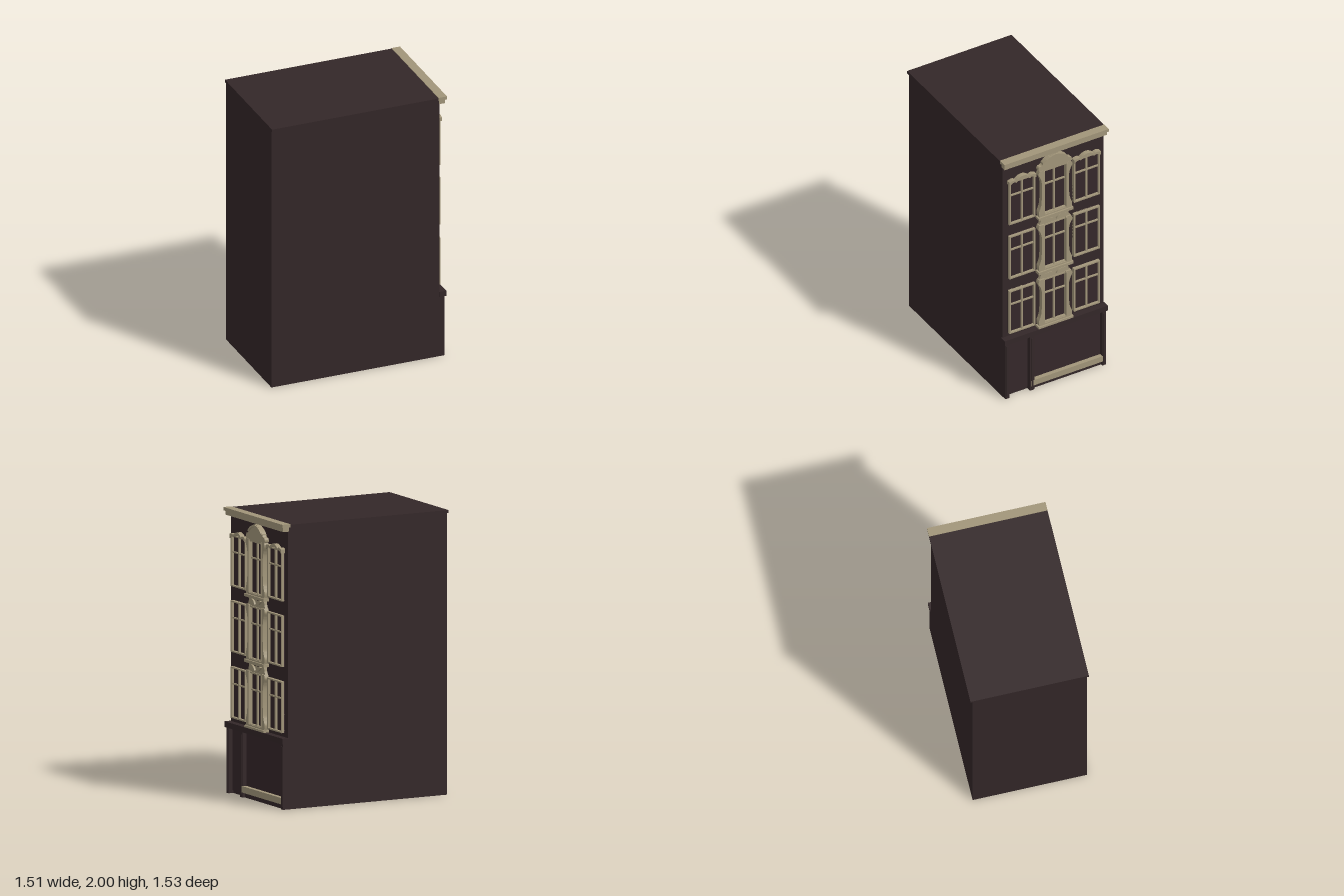
import * as THREE from 'three';

const mat = (name, color) => {
  const m = new THREE.MeshStandardMaterial({ color });
  m.name = name;
  return m;
};

export function createModel() {
  const model = new THREE.Group();
  model.name = 'townHouse';
  // The house is built with its facade towards +z, then turned on the plot
  const house = new THREE.Group();
  house.name = 'house';
  house.rotation.y = Math.atan2(0.686, -0.728);
  model.add(house);

  const brown = mat('darkBrown', 0x332728);
  const stone = mat('sandstone', 0xa19579);
  const pane = mat('darkPane', 0x35272a);
  const WALL = 0.605;

  const add = (name, geo, m, parent = house) => {
    const mesh = new THREE.Mesh(geo, m);
    mesh.name = name;
    parent.add(mesh);
    return mesh;
  };
  // Box given by its limits
  const box = (name, x0, x1, y0, y1, z0, z1, m, parent) => {
    const b = add(name, new THREE.BoxGeometry(x1 - x0, y1 - y0, z1 - z0), m, parent);
    b.position.set((x0 + x1) / 2, (y0 + y1) / 2, (z0 + z1) / 2);
    return b;
  };
  // Flat carved piece standing on the facade
  const carve = (name, shape, depth, m, parent, z = WALL) => {
    const geo = new THREE.ExtrudeGeometry(shape, { depth, bevelEnabled: false, curveSegments: 8 });
    return (add(name, geo, m, parent).position.z = z);
  };
  const outline = (pts) => new THREE.Shape(pts.map(([x, y]) => new THREE.Vector2(x, y)));

  // Main body, roof slab and cornice
  box('body', -0.405, 0.405, 0, 1.976, -0.653, WALL, brown);
  box('roof', -0.42, 0.42, 1.976, 1.996, -0.655, 0.593, brown);
  box('corniceTop', -0.42, 0.42, 1.977, 2, 0.593, 0.656, stone);
  box('corniceLower', -0.412, 0.412, 1.947, 1.977, 0.6, 0.645, stone);

  // Shop front
  const shop = new THREE.Group();
  shop.name = 'shopFront';
  house.add(shop);
  box('lintel', -0.415, 0.415, 0.46, 0.5, WALL - 0.005, 0.652, brown, shop);
  for (const [x0, x1] of [[-0.405, -0.372], [-0.207, -0.172], [0.375, 0.405]]) {
    box('shopPost', x0, x1, 0, 0.46, WALL, 0.642, brown, shop);
    box('postFillet', x0 + 0.01, x1 - 0.01, 0.02, 0.44, 0.642, 0.646, brown, shop);
  }
  box('doorPanel', -0.372, -0.207, 0.02, 0.45, WALL, 0.612, pane, shop);
  box('shopWindow', -0.172, 0.375, 0.08, 0.45, WALL, 0.612, pane, shop);
  box('stallRiser', -0.172, 0.375, 0, 0.035, WALL, 0.625, brown, shop);
  box('shopSill', -0.2, 0.378, 0.035, 0.08, WALL, 0.644, stone, shop);

  // Frame with one mullion and one transom
  const glazing = (g, x0, x1, y0, y1, transomY, framed) => {
    const c = (x0 + x1) / 2;
    const t = 0.012;
    box('pane', x0, x1, y0, y1, WALL, WALL + 0.006, pane, g);
    box('mullion', c - 0.006, c + 0.006, y0, y1, WALL, WALL + 0.02, stone, g);
    box('transom', x0, x1, transomY - 0.005, transomY + 0.005, WALL, WALL + 0.018, stone, g);
    box('bottomRail', x0, x1, y0, y0 + 0.01, WALL, WALL + 0.026, stone, g);
    box('topRail', x0, x1, y1 - 0.01, y1, WALL, WALL + 0.026, stone, g);
    if (!framed) return;
    box('frameSide', x0, x0 + t, y0, y1, WALL, WALL + 0.026, stone, g);
    box('frameSide', x1 - t, x1, y0, y1, WALL, WALL + 0.026, stone, g);
  };

  [0.53, 0.993, 1.453].forEach((y, floor) => {
    const top = floor === 2;
    const g = new THREE.Group();
    g.name = 'windowsFloor' + (floor + 1);
    house.add(g);

    // Side windows, with curved heads on the top floor
    for (const s of [-1, 1]) {
      const c = s * 0.26;
      glazing(g, c - 0.105, c + 0.105, y, y + 0.36, y + 0.24, true);
      if (!top) continue;
      const head = new THREE.Shape();
      head.moveTo(c - 0.108, 1.79);
      head.lineTo(c - 0.108, 1.818);
      head.quadraticCurveTo(c - 0.075, 1.835, c - 0.055, 1.818);
      head.quadraticCurveTo(c, 1.868, c + 0.055, 1.818);
      head.quadraticCurveTo(c + 0.075, 1.835, c + 0.108, 1.818);
      head.lineTo(c + 0.108, 1.79);
      head.quadraticCurveTo(c + 0.075, 1.82, c + 0.055, 1.802);
      head.quadraticCurveTo(c, 1.84, c - 0.055, 1.802);
      head.quadraticCurveTo(c - 0.075, 1.82, c - 0.108, 1.79);
      carve('curvedHead', head, 0.034, stone, g);
    }

    // Centre window with scrolled jambs and a sill
    glazing(g, -0.094, 0.094, y - 0.01, y + 0.365, y + 0.24, false);
    box('centreSill', -0.14, 0.14, y - 0.035, y - 0.015, WALL, WALL + 0.045, stone, g);
    box('sillMoulding', -0.125, 0.125, y - 0.015, y - 0.004, WALL, WALL + 0.034, stone, g);
    for (const s of [-1, 1]) {
      const jamb = new THREE.Shape();
      jamb.moveTo(s * 0.086, y - 0.015);
      jamb.lineTo(s * 0.128, y - 0.015);
      jamb.splineThru([
        [0.134, 0.02], [0.122, 0.055], [0.113, 0.09], [0.108, 0.18], [0.11, 0.27],
        [0.12, 0.31], [0.136, 0.345], [0.128, 0.372],
      ].map(([x, dy]) => new THREE.Vector2(s * x, y + dy)));
      jamb.lineTo(s * 0.086, y + 0.372);
      carve('scrolledJamb', jamb, 0.034, stone, g);
      // Inner bead, brighter edge of the opening
      box('jambBead', s * 0.09 - 0.004, s * 0.09 + 0.004, y, y + 0.365, WALL, WALL + 0.04, stone, g);
    }

    if (!top) {
      // Carved spandrel between the floors
      carve('spandrel', outline([
        [-0.125, y + 0.366], [0.125, y + 0.366], [0.112, y + 0.395],
        [0.105, y + 0.43], [-0.105, y + 0.43], [-0.112, y + 0.395],
      ]), 0.022, stone, g);
      for (const s of [-1, 1]) {
        const leaf = new THREE.Shape();
        leaf.moveTo(s * 0.008, y + 0.385);
        leaf.quadraticCurveTo(s * 0.04, y + 0.375, s * 0.08, y + 0.415);
        leaf.quadraticCurveTo(s * 0.03, y + 0.43, s * 0.008, y + 0.385);
        carve('leafCarving', leaf, 0.014, stone, g, WALL + 0.022);
        carve('spandrelShadowGap', outline([
          [s * 0.012, y + 0.424], [s * 0.035, y + 0.427], [s * 0.022, y + 0.412],
        ]), 0.003, brown, g, WALL + 0.022);
      }
    }
  });

  // Arched pediment with flared wings
  const crest = new THREE.Shape();
  crest.moveTo(-0.1, 1.815);
  crest.lineTo(-0.132, 1.83);
  crest.quadraticCurveTo(-0.14, 1.85, -0.125, 1.862);
  crest.quadraticCurveTo(-0.1, 1.86, -0.098, 1.885);
  crest.quadraticCurveTo(-0.075, 1.91, -0.055, 1.915);
  crest.quadraticCurveTo(0, 1.965, 0.055, 1.915);
  crest.quadraticCurveTo(0.075, 1.91, 0.098, 1.885);
  crest.quadraticCurveTo(0.1, 1.86, 0.125, 1.862);
  crest.quadraticCurveTo(0.14, 1.85, 0.132, 1.83);
  crest.lineTo(0.1, 1.815);
  carve('pediment', crest, 0.032, stone, house);
  const rim = new THREE.Shape();
  rim.moveTo(-0.098, 1.885);
  rim.quadraticCurveTo(0, 1.985, 0.098, 1.885);
  rim.lineTo(0.085, 1.88);
  rim.quadraticCurveTo(0, 1.96, -0.085, 1.88);
  carve('pedimentRim', rim, 0.042, stone, house);

  return model;
}
